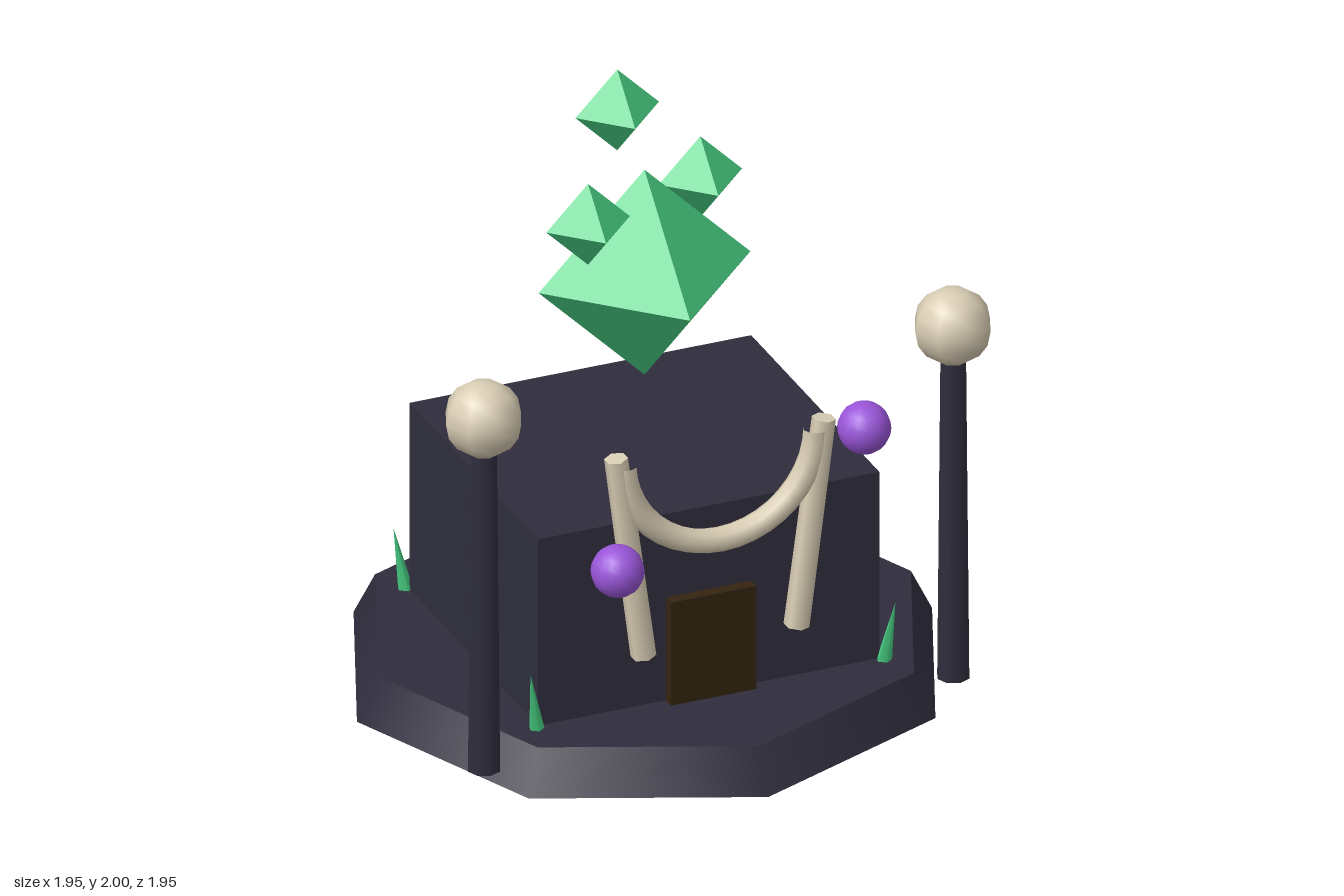
import * as THREE from 'three';

const paint = (name, color) => {
  const m = new THREE.MeshStandardMaterial({ color });
  m.name = name;
  return m;
};

export function createModel() {
  const stone = paint('darkStone', 0x2f2d3d);
  const bone = paint('bone', 0xd9cdb4);
  const wood = paint('darkWood', 0x33240f);
  const violet = paint('violet', 0x9955d8);
  const emerald = paint('emerald', 0x46cc80);

  const group = new THREE.Group();
  const add = (name, geometry, material, x, y, z) => {
    const mesh = new THREE.Mesh(geometry, material);
    mesh.name = name;
    mesh.position.set(x, y, z);
    group.add(mesh);
    return mesh;
  };
  // Cylinder or cone running from one point to another
  const up = new THREE.Vector3(0, 1, 0);
  const rod = (name, a, b, rTop, rBottom, sides, material) => {
    const from = new THREE.Vector3(...a), dir = new THREE.Vector3(...b).sub(from);
    const geometry = new THREE.CylinderGeometry(rTop, rBottom, dir.length(), sides);
    const mid = from.clone().addScaledVector(dir, 0.5);
    const mesh = add(name, geometry, material, mid.x, mid.y, mid.z);
    mesh.quaternion.setFromUnitVectors(up, dir.normalize());
    return mesh;
  };

  // Octagonal platform, hall and door
  add('platform', new THREE.CylinderGeometry(0.905, 0.977, 0.145, 8), stone, 0, 0.083, 0);
  add('hall', new THREE.BoxGeometry(1.16, 0.665, 1.01), stone, 0, 0.4775, 0);
  add('door', new THREE.BoxGeometry(0.29, 0.37, 0.06), wood, 0, 0.332, 0.515);

  // Hanging half ring between two leaning posts
  const ring = add('archRing', new THREE.TorusGeometry(0.325, 0.041, 8, 20, Math.PI), bone, 0, 1.06, 0.595);
  ring.rotation.z = Math.PI;

  for (const s of [-1, 1]) {
    rod('archPost', [s * 0.26, 0.38, 0.595], [s * 0.353, 1.09, 0.595], 0.038, 0.041, 6, bone);

    // Lamp pillars
    rod('lampPillar', [s * 0.797, 0.087, 0.585], [s * 0.797, 1.22, 0.585], 0.043, 0.054, 8, stone);
    add('lampGlobe', new THREE.SphereGeometry(0.127, 8, 8), bone, s * 0.797, 1.315, 0.58);

    // Outward leaning shards at the hall corners
    for (const t of [-1, 1]) {
      rod('cornerShard', [s * 0.57, 0.01, t * 0.503], [s * 0.62, 0.36, t * 0.54], 0, 0.043, 5, emerald);
    }
  }

  // Floating orbs
  add('orb', new THREE.SphereGeometry(0.085, 14, 12), violet, -0.436, 0.81, 0.8);
  add('orb', new THREE.SphereGeometry(0.085, 14, 12), violet, 0.434, 1.1, 0.725);

  // Floating crystals: one large, three small
  const crystals = [
    [0.36, 0, 1.39, 0],
    [0.142, 0, 1.858, -0.215],
    [0.142, -0.255, 1.68, 0.147],
    [0.142, 0.252, 1.605, -0.145],
  ];
  for (const [r, x, y, z] of crystals) {
    add('crystal', new THREE.OctahedronGeometry(r), emerald, x, y, z);
  }

  return group;
}
